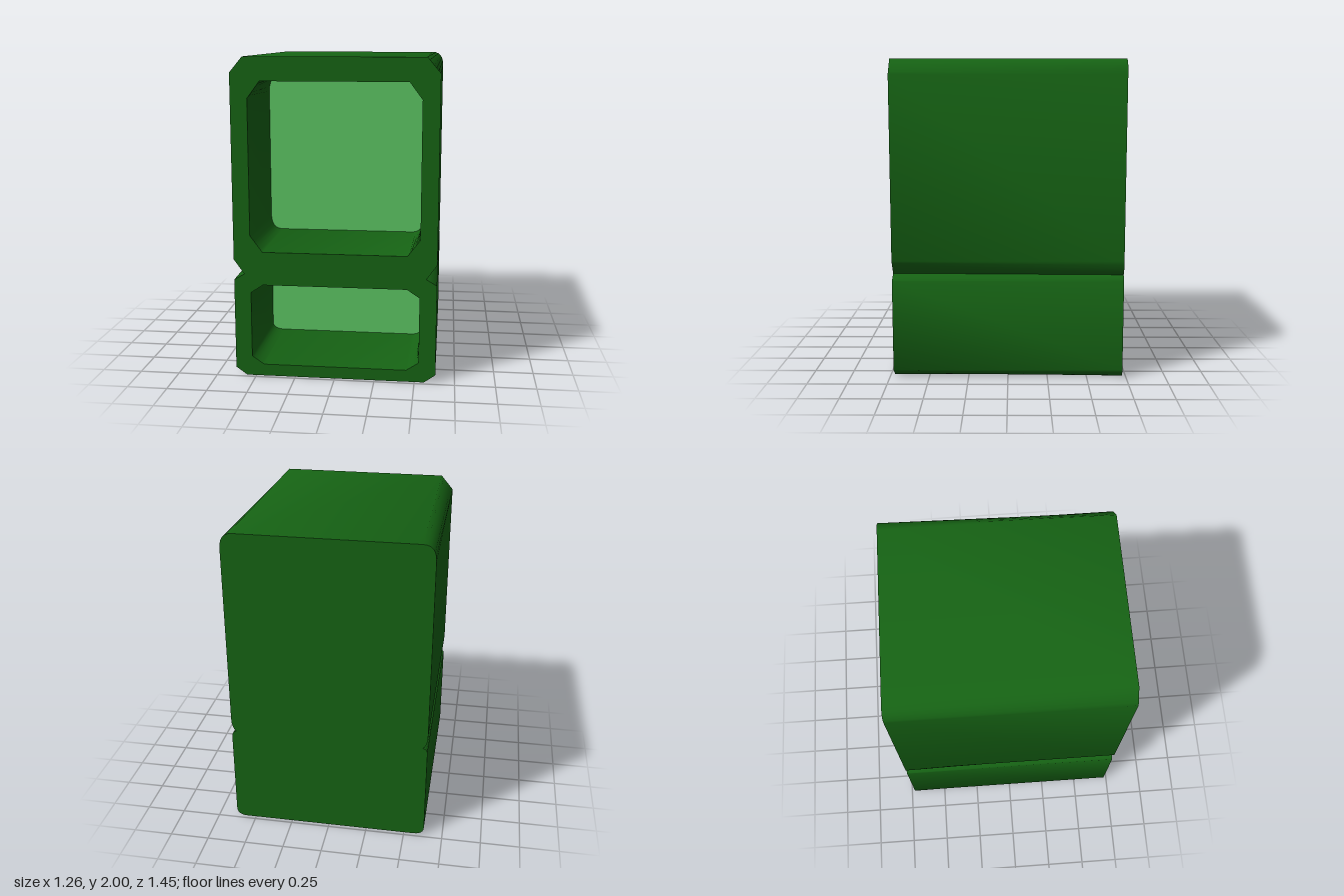
import * as THREE from 'three';
import { toCreasedNormals } from 'three/addons/utils/BufferGeometryUtils.js';

const FRONT = 0.725, BACK = -0.725, INNER = 0.055;
const V = (x, y) => new THREE.Vector2(x, y);

// Corner from a to b: a straight chamfer, or a curve bending towards c
function corner(a, c, b, round) {
  const ctrl = round ? c : a.clone().add(b).multiplyScalar(0.5);
  return new THREE.QuadraticBezierCurve(a, ctrl, b).getPoints(6);
}

// Close a right-hand outline (bottom to top) with its mirror image
const mirrored = (right) => [...right, ...right.map((p) => V(-p.x, p.y)).reverse()];

// Two stacked boxes in one outline, pinched at a side notch
function outerOutline(round) {
  const w = 0.63, n = round ? 0.6 : 0.565, ny = 0.663;
  const low = round ? 0.055 : 0.05;
  return mirrored([
    ...corner(V(w - 0.07, 0), V(w, 0), V(w, low), round),
    ...corner(V(w, 0.625), V(w, 0.655), V(n, ny), round),
    ...corner(V(n, ny), V(w, 0.685), V(w, 0.755), round).slice(1),
    ...corner(V(w, 1.905), V(w, 2), V(w - 0.08, 2), round),
  ]);
}

// Opening with four cut or rounded corners
function openingOutline({ y0, y1, cut }, round) {
  const w = 0.525, cx = 0.077;
  return mirrored([
    ...corner(V(w - cx, y0), V(w, y0), V(w, y0 + cut), round),
    ...corner(V(w, y1 - cut), V(w, y1), V(w - cx, y1), round),
  ]);
}

// Wall between two outlines at different depths
function loft(front, back, zf, zb) {
  const n = front.length, pos = [], idx = [];
  front.forEach((p) => pos.push(p.x, p.y, zf));
  back.forEach((p) => pos.push(p.x, p.y, zb));
  for (let i = 0; i < n; i++) {
    const j = (i + 1) % n;
    idx.push(i, n + i, j, n + i, n + j, j);
  }
  const g = new THREE.BufferGeometry();
  g.setAttribute('position', new THREE.Float32BufferAttribute(pos, 3));
  g.setIndex(idx);
  return toCreasedNormals(g, 1.1);
}

export function createModel() {
  const group = new THREE.Group();
  const caseMat = new THREE.MeshStandardMaterial({ color: 0x166414 });
  const panelMat = new THREE.MeshStandardMaterial({ color: 0x5cc462 });
  const add = (name, geometry, material) => {
    const mesh = new THREE.Mesh(geometry, material);
    mesh.name = name;
    group.add(mesh);
  };
  const openings = [
    { name: 'upper', y0: 0.805, y1: 1.855, cut: 0.103 },
    { name: 'lower', y0: 0.075, y1: 0.595, cut: 0.051 },
  ];

  // Outer shell: chamfered at the front, rounded at the back
  const front = outerOutline(false), back = outerOutline(true);
  add('outerShell', loft(front, back, FRONT, BACK), caseMat);
  add('backFace', new THREE.ShapeGeometry(new THREE.Shape(back)).rotateY(Math.PI).translate(0, 0, BACK), caseMat);

  // Front frame with both openings
  const frame = new THREE.Shape(front);
  for (const o of openings) frame.holes.push(new THREE.Path(openingOutline(o, false)));
  add('frontFrame', new THREE.ShapeGeometry(frame).translate(0, 0, FRONT), caseMat);

  // Recess walls and the light panels closing them
  for (const o of openings) {
    const rim = openingOutline(o, false), end = openingOutline(o, true);
    add(o.name + 'Panel', new THREE.ShapeGeometry(new THREE.Shape(end)).translate(0, 0, INNER), panelMat);
    add(o.name + 'RecessWalls', loft(rim.reverse(), end.reverse(), FRONT, INNER), caseMat);
  }
  return group;
}
